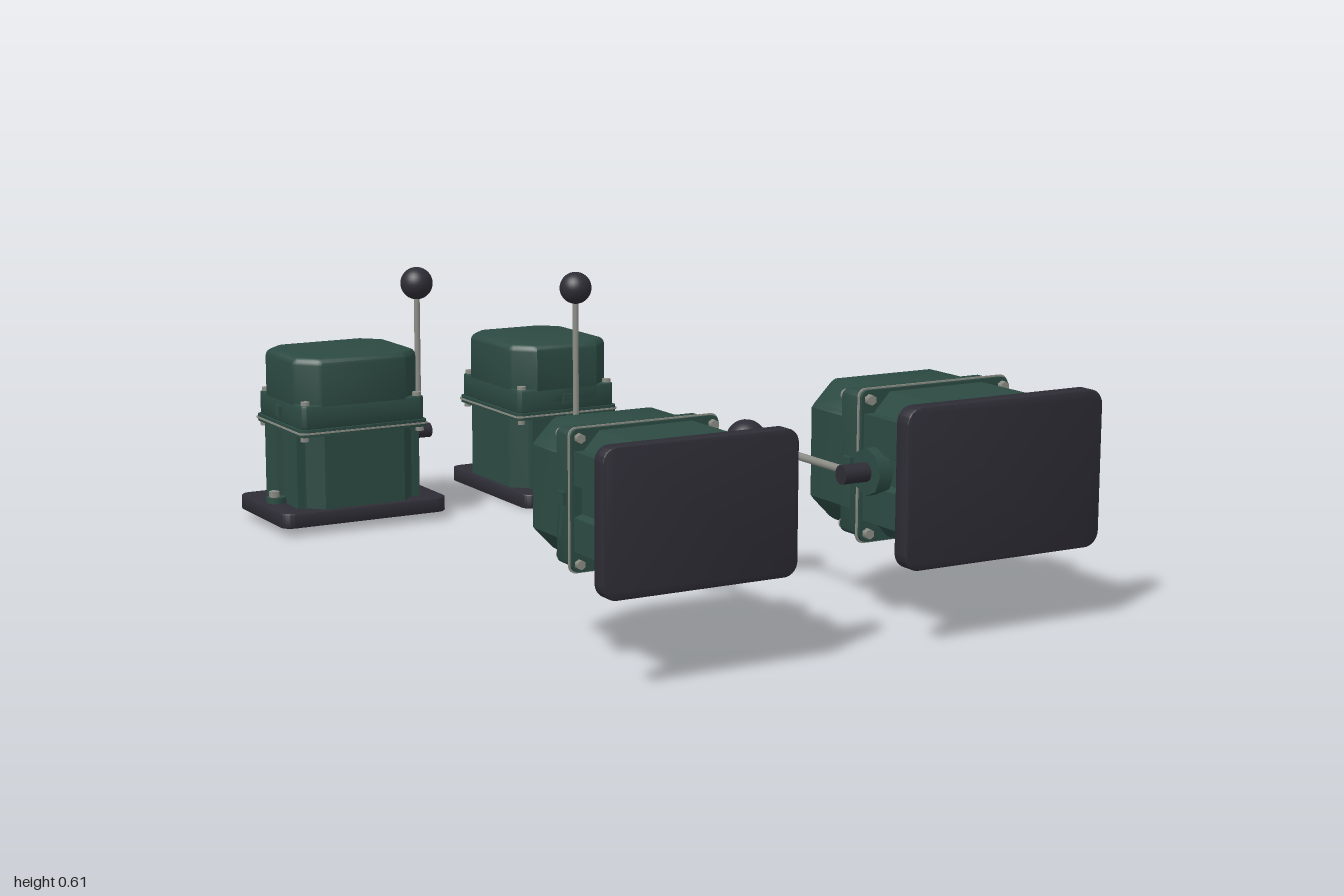
import * as THREE from 'three';
import { toCreasedNormals } from 'three/addons/utils/BufferGeometryUtils.js';

const material = (name, color) => Object.assign(new THREE.MeshStandardMaterial({ color }), { name });

// Rectangle with rounded corners, centred on the origin
function roundedRect(hx, hy, r) {
  const s = new THREE.Shape();
  s.absarc(hx - r, hy - r, r, 0, Math.PI / 2);
  s.absarc(-hx + r, hy - r, r, Math.PI / 2, Math.PI);
  s.absarc(-hx + r, -hy + r, r, Math.PI, Math.PI * 1.5);
  s.absarc(hx - r, -hy + r, r, Math.PI * 1.5, Math.PI * 2);
  s.closePath();
  return s;
}

// Closed outline mirrored into all four quadrants from one quarter,
// listed from the +x axis round to the +y axis
function quarterOutline(q) {
  const back = [...q].reverse();
  const points = [
    ...q, ...back.map(([x, y]) => [-x, y]),
    ...q.map(([x, y]) => [-x, -y]), ...back.map(([x, y]) => [x, -y]),
  ];
  return new THREE.Shape(points.map(([x, y]) => new THREE.Vector2(x, y)));
}

// Extrude a plan outline upwards between two heights, with optional eased edges
function slab(shape, y0, y1, bevel = 0) {
  const geometry = new THREE.ExtrudeGeometry(shape, {
    depth: y1 - y0 - 2 * bevel, curveSegments: 6,
    bevelEnabled: bevel > 0, bevelSize: bevel, bevelThickness: bevel,
    bevelOffset: -bevel, bevelSegments: 4,
  });
  geometry.rotateX(-Math.PI / 2).translate(0, y0 + bevel, 0);
  return toCreasedNormals(geometry, 0.6);
}

export function createModel() {
  const green = material('green enamel', 0x2c4a42);
  const dark = material('dark plastic', 0x2e2c35);
  const steel = material('steel', 0x8c8c86);

  const cylinder = (r, h, n = 20) => new THREE.CylinderGeometry(r, r, h, n);
  const plate = slab(roundedRect(0.218, 0.148, 0.03), 0, 0.036, 0.003);
  const housing = slab(quarterOutline([
    [0.145, 0.026], [0.162, 0.032], [0.162, 0.1], [0.14, 0.1], [0.105, 0.137],
  ]), 0.034, 0.222);
  const flange = slab(roundedRect(0.167, 0.143, 0.015), 0.217, 0.235);
  const gasket = slab(roundedRect(0.17, 0.146, 0.016), 0.224, 0.228);
  const coverBase = slab(roundedRect(0.162, 0.137, 0.015), 0.234, 0.292, 0.004);
  const cover = slab(quarterOutline([
    [0.162, 0.085], [0.155, 0.094], [0.118, 0.131], [0.108, 0.137],
  ]), 0.24, 0.404, 0.018);

  function controller(name) {
    const unit = new THREE.Group();
    unit.name = name;
    const add = (part, geometry, mat, x = 0, y = 0, z = 0) => {
      const mesh = new THREE.Mesh(geometry, mat);
      mesh.name = part;
      mesh.position.set(x, y, z);
      unit.add(mesh);
      return mesh;
    };

    add('basePlate', plate, dark);
    add('housing', housing, green);
    add('flange', flange, green);
    add('gasket', gasket, steel);
    add('coverBase', coverBase, green);
    add('cover', cover, green);

    for (const sx of [-1, 1]) {
      // Mounting lugs and bolts in the end recesses
      add('mountingLug', cylinder(0.024, 0.014), green, sx * 0.178, 0.043);
      add('mountingBolt', cylinder(0.013, 0.014, 6), steel, sx * 0.182, 0.057);
      add('coverLatch', new THREE.BoxGeometry(0.012, 0.026, 0.026), green, sx * 0.164, 0.262);
      // Cover bolts on the corner bosses with nuts below the flange
      for (const sz of [-1, 1]) {
        add('coverBolt', cylinder(0.011, 0.01, 12), steel, sx * 0.147, 0.296, sz * 0.122);
        add('flangeNut', cylinder(0.01, 0.012, 6), steel, sx * 0.152, 0.211, sz * 0.126);
      }
    }

    // Lever bearing, hub, rod and ball
    add('leverBearing', cylinder(0.045, 0.03, 8), green, 0.168, 0.178).rotation.z = Math.PI / 2;
    add('leverHub', cylinder(0.018, 0.07), dark, 0.203, 0.178).rotation.z = Math.PI / 2;
    add('leverRod', cylinder(0.0075, 0.36, 14), steel, 0.208, 0.355);
    add('leverBall', new THREE.SphereGeometry(0.04, 28, 18), dark, 0.208, 0.55);
    return unit;
  }

  const model = new THREE.Group();
  model.name = 'leverControllers';
  // name, position, tilt about x, turn about the unit's own upright, scale
  const layout = [
    ['standingSideLever', [-0.377, 0.02, -0.714], 0, 0, 1],
    ['standingFrontLever', [0.203, 0, -0.782], 0, -Math.PI / 2, 1],
    ['lyingSmall', [-0.377, 0.338, 1], -Math.PI / 2, 0, 1],
    ['lyingLarge', [0.345, 0.332, 1], -Math.PI / 2, Math.PI, 1.13],
  ];
  for (const [name, position, tilt, turn, scale] of layout) {
    const unit = controller(name);
    unit.position.set(...position);
    unit.rotation.set(tilt, turn, 0);
    unit.scale.setScalar(scale);
    model.add(unit);
  }
  return model;
}
